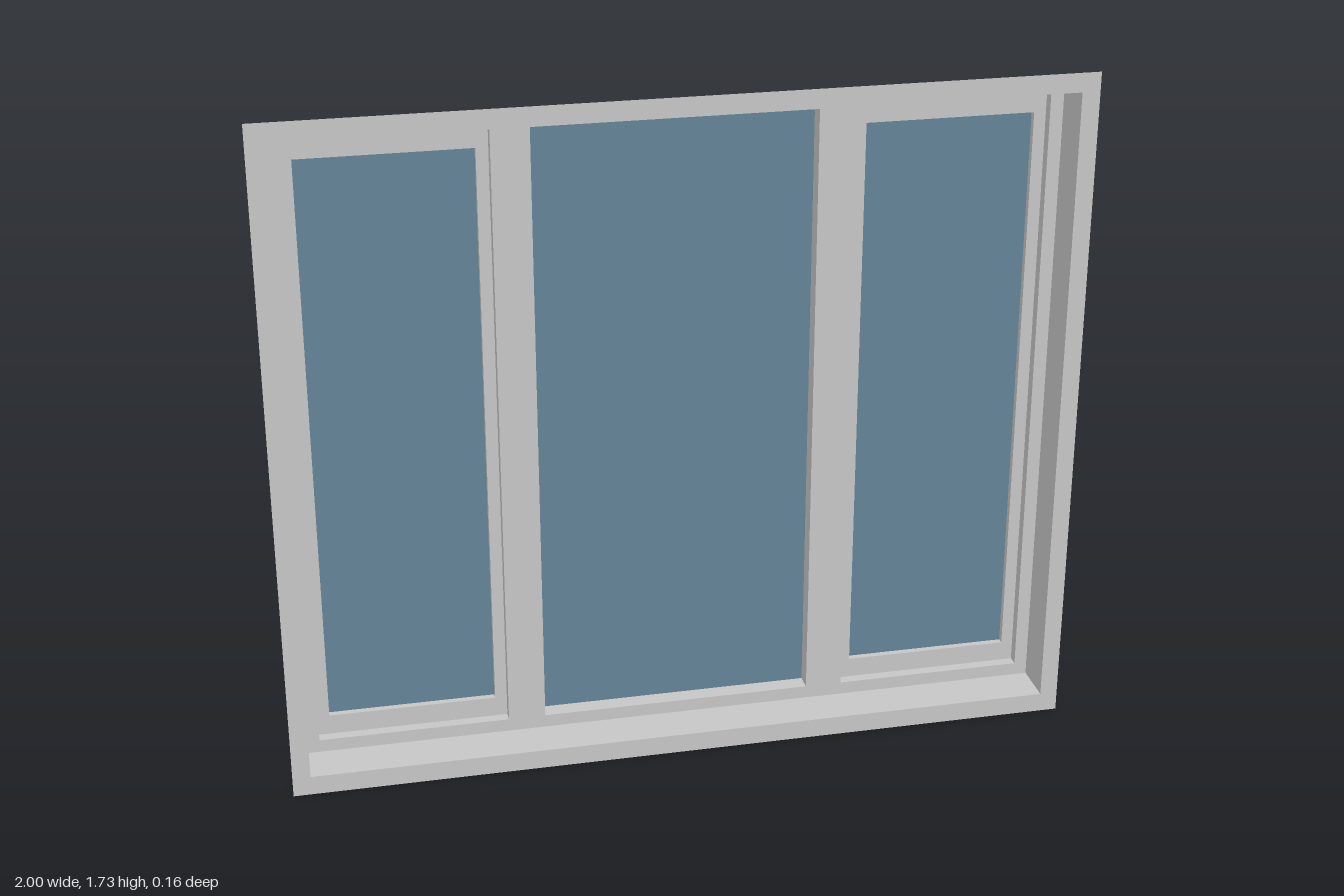
import * as THREE from 'three';

// Rectangles are [x0, x1, y0, y1]
const OUTER = [-1, 1, 0, 1.73];
const OPENING = [-0.955, 0.955, 0.05, 1.682];
const CENTRE = [-0.346, 0.346, 0.083, 1.65];
const SASH = [0.44, 0.922, 0.083, 1.65];
const SASH_GLASS = [0.47, 0.892, 0.135, 1.597];

// Depth planes from front to back
const Z_FLANGE = 0.08, Z_FRAME = -0.035, Z_SASH = -0.063, Z_GLASS = -0.08;

const mirror = ([x0, x1, y0, y1]) => [-x1, -x0, y0, y1];
const corners = ([x0, x1, y0, y1]) =>
  [[x0, y0], [x1, y0], [x1, y1], [x0, y1]].map(([x, y]) => new THREE.Vector2(x, y));

export function createModel() {
  const group = new THREE.Group();
  const frameMat = new THREE.MeshStandardMaterial({ color: 0xc8c8c8, side: THREE.DoubleSide });
  frameMat.name = 'frame grey';
  const glassMat = new THREE.MeshStandardMaterial({ color: 0x648599, side: THREE.DoubleSide });
  glassMat.name = 'glass blue';

  const add = (name, geometry, material) => {
    const mesh = new THREE.Mesh(geometry, material);
    mesh.name = name;
    group.add(mesh);
  };

  // Flat sheet facing the front, with optional rectangular holes
  const sheet = (name, rect, z, material, holes = []) => {
    const shape = new THREE.Shape(corners(rect));
    for (const h of holes) shape.holes.push(new THREE.Path(corners(h).reverse()));
    add(name, new THREE.ShapeGeometry(shape).translate(0, 0, z), material);
  };

  // Four thin walls around a rectangle, facing inwards
  const reveal = (name, rect, zFront, zBack) => {
    const c = corners(rect);
    const pos = [];
    c.forEach((a, i) => {
      const b = c[(i + 1) % 4];
      pos.push(a.x, a.y, zFront, b.x, b.y, zFront, b.x, b.y, zBack);
      pos.push(a.x, a.y, zFront, b.x, b.y, zBack, a.x, a.y, zBack);
    });
    const g = new THREE.BufferGeometry();
    g.setAttribute('position', new THREE.Float32BufferAttribute(pos, 3));
    g.computeVertexNormals();
    add(name, g, frameMat);
  };

  // Outer trim, deep reveal and the frame face with its three openings
  sheet('frontFlange', OUTER, Z_FLANGE, frameMat, [OPENING]);
  reveal('outerReveal', OPENING, Z_FLANGE, Z_FRAME);
  sheet('frameFace', OPENING, Z_FRAME, frameMat, [mirror(SASH), CENTRE, SASH]);

  // Fixed centre pane
  reveal('centreReveal', CENTRE, Z_FRAME, Z_GLASS);
  sheet('centreGlass', CENTRE, Z_GLASS, glassMat);

  // Side sashes, stepped back twice
  for (const [side, flip] of [['left', (r) => r], ['right', mirror]]) {
    const sash = flip(SASH), glass = flip(SASH_GLASS);
    reveal(side + 'SashReveal', sash, Z_FRAME, Z_SASH);
    sheet(side + 'SashFace', sash, Z_SASH, frameMat, [glass]);
    reveal(side + 'GlassReveal', glass, Z_SASH, Z_GLASS);
    sheet(side + 'Glass', glass, Z_GLASS, glassMat);
  }
  return group;
}
